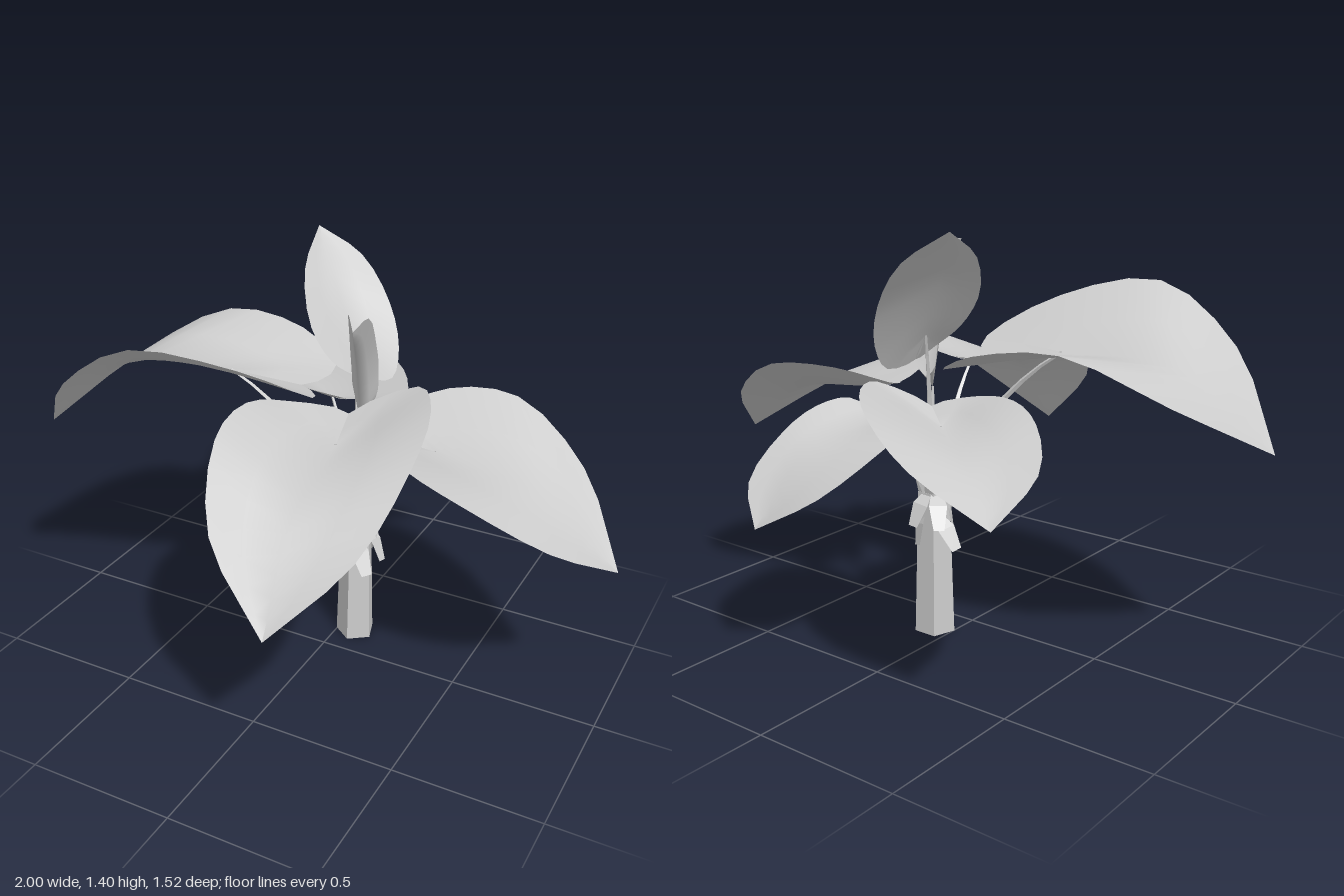
import * as THREE from 'three';

const leafGrey = new THREE.MeshStandardMaterial({ color: 0xcccccc, side: THREE.DoubleSide });
const CENTRE = new THREE.Vector3(0.064, 0, -0.127);
const ROWS = 18;

const vec = (p) => new THREE.Vector3(...p);

function addMesh(parent, name, geometry) {
  const mesh = new THREE.Mesh(geometry, leafGrey);
  mesh.name = name;
  parent.add(mesh);
  return mesh;
}

// Faceted copy of a geometry
function faceted(geometry) {
  const g = geometry.toNonIndexed();
  g.computeVertexNormals();
  return g;
}

// Point halfway from a to b, pushed away from the blade's core
function bulge(a, b, core, amount) {
  const m = a.clone().lerp(b, 0.5);
  return m.add(m.clone().sub(core).multiplyScalar(amount));
}

// Heart-shaped blade: rows run rim A, midrib, rim B. Each rim goes from the stalk
// back to the notch, round its lobe and on to the tip; the midrib waits meanwhile.
function blade([base, bend, tip], halfA, halfB) {
  const core = base.clone().lerp(tip, 0.5);
  const notch = base.clone().lerp(halfA[0].clone().lerp(halfB[0], 0.5), 0.75);
  notch.y -= 0.025;
  const midrib = new THREE.CatmullRomCurve3([base, bend, tip]);
  const [rimA, rimB] = [halfA, halfB].map(([lobe, wide]) => new THREE.CatmullRomCurve3([
    base, notch, lobe, bulge(lobe, wide, core, 0.15), wide, bulge(wide, tip, core, 0.45), tip,
  ]));
  const positions = [], index = [];
  for (let i = 0; i <= ROWS; i++) {
    const t = i / ROWS;
    const rib = midrib.getPoint(Math.max(0, (t - 0.34) / 0.66));
    const a = rimA.getPoint(t), b = rimB.getPoint(t);
    const row = [a, a.clone().lerp(rib, 0.5), rib, b.clone().lerp(rib, 0.5), b];
    row.forEach((p) => positions.push(p.x, p.y, p.z));
    if (i === ROWS) break;
    for (let k = 0; k < 4; k++) {
      const p = i * 5 + k;
      index.push(p, p + 1, p + 5, p + 1, p + 6, p + 5);
    }
  }
  const g = new THREE.BufferGeometry();
  g.setAttribute('position', new THREE.Float32BufferAttribute(positions, 3));
  g.setIndex(index);
  g.computeVertexNormals();
  return g;
}

// Curved stalk, thick at the trunk and thin at the blade
function stalk(end) {
  const out = end.clone().sub(CENTRE).setY(0).setLength(0.025);
  const start = CENTRE.clone().add(out).setY(0.48);
  const bend = start.clone().lerp(end, 0.4);
  bend.y += (end.y - start.y) * 0.3;
  const path = new THREE.QuadraticBezierCurve3(start, bend, end);
  const steps = 8, sides = 4;
  const g = new THREE.TubeGeometry(path, steps, 0.017, sides);
  const p = g.attributes.position, v = new THREE.Vector3();
  for (let i = 0; i < p.count; i++) {
    const t = Math.floor(i / (sides + 1)) / steps;
    v.fromBufferAttribute(p, i).lerp(path.getPointAt(t), 0.7 * t);
    p.setXYZ(i, v.x, v.y, v.z);
  }
  return faceted(g);
}

// Leaf from its midrib (base, bend, tip) and, for each half, lobe and widest point
function addLeaf(plant, name, midrib, halfA, halfB) {
  const leaf = new THREE.Group();
  leaf.name = name;
  const rib = midrib.map(vec);
  addMesh(leaf, 'stalk', stalk(rib[0]));
  addMesh(leaf, 'blade', blade(rib, halfA.map(vec), halfB.map(vec)));
  plant.add(leaf);
}

// Dry husk strip: out from the trunk, then hanging down
function huskStrip(reach) {
  const g = new THREE.PlaneGeometry(0.055, 0.12, 1, 2);
  const p = g.attributes.position;
  for (let n = 0; n < p.count; n++) {
    const row = Math.floor(n / 2);
    const y = [0.03, 0, -0.07][row];
    const out = reach * [0, 0.6, 1.2][row];
    p.setXYZ(n, p.getX(n) * (row === 1 ? 1.1 : 0.65), y, 0.04 + out);
  }
  return faceted(g);
}

export function createModel() {
  const plant = new THREE.Group();
  plant.name = 'broadLeafPlant';

  // Five-sided trunk and its flared collar
  const trunk = addMesh(plant, 'trunk', faceted(new THREE.CylinderGeometry(0.055, 0.07, 0.5, 5)));
  trunk.position.set(CENTRE.x, 0.25, CENTRE.z);
  const collar = addMesh(plant, 'collar', faceted(new THREE.CylinderGeometry(0.066, 0.046, 0.09, 5)));
  collar.position.set(CENTRE.x, 0.51, CENTRE.z);

  // Large drooping leaves
  addLeaf(plant, 'rightLeaf', [[-.35, 1, 0], [-.72, .98, .08], [-1, .74, .17]],
    [[0, 1, .08], [-.47, 1.19, .4]], [[-.1, .96, -.28], [-.56, 1.07, -.34]]);
  addLeaf(plant, 'leftLeaf', [[.36, .81, -.1], [.72, .75, -.09], [1, .56, -.06]],
    [[.26, .88, .08], [.58, .83, .23]], [[.17, .87, -.22], [.52, .92, -.41]]);
  addLeaf(plant, 'frontLeaf', [[.12, .89, .15], [.16, .82, .5], [.2, .55, .76]],
    [[-.12, .94, .02], [-.16, .96, .41]], [[.28, 1.02, -.12], [.44, .94, .3]]);
  addLeaf(plant, 'backRightLeaf', [[-.15, .8, -.35], [-.43, .77, -.58], [-.61, .67, -.72]],
    [[.15, .89, -.3], [-.12, .88, -.65]], [[-.2, .88, -.22], [-.49, .86, -.34]]);
  addLeaf(plant, 'backLeaf', [[.13, .78, -.35], [.2, .71, -.58], [.25, .5, -.76]],
    [[-.02, .82, -.33], [-.07, .75, -.54]], [[.25, .83, -.33], [.33, .75, -.55]]);

  // Young leaves at the crown
  addLeaf(plant, 'uprightLeaf', [[0, 1.05, -.24], [-.13, 1.25, -.32], [-.24, 1.4, -.42]],
    [[.03, 1, -.15], [-.1, 1.16, -.1]], [[.1, .94, -.31], [.03, 1.16, -.43]]);
  addLeaf(plant, 'youngFoldedLeaf', [[.08, .85, -.11], [.12, 1.07, 0], [.2, 1.3, .2]],
    [[.03, .93, -.16], [.05, 1.16, -.08]], [[.11, .93, -.16], [.15, 1.16, -.07]]);

  // Uneven husk strips around the top of the trunk
  for (let i = 0; i < 9; i++) {
    const husk = addMesh(plant, 'huskStrip', huskStrip(0.05 + 0.03 * Math.sin(i * 2.7)));
    husk.position.set(CENTRE.x, 0.43 + 0.05 * Math.cos(i * 1.9), CENTRE.z);
    husk.rotation.set(0, i * Math.PI * 0.4 + (i > 4 ? 0.6 : 0.2), 0.25 * Math.sin(i * 4.1));
  }
  return plant;
}
